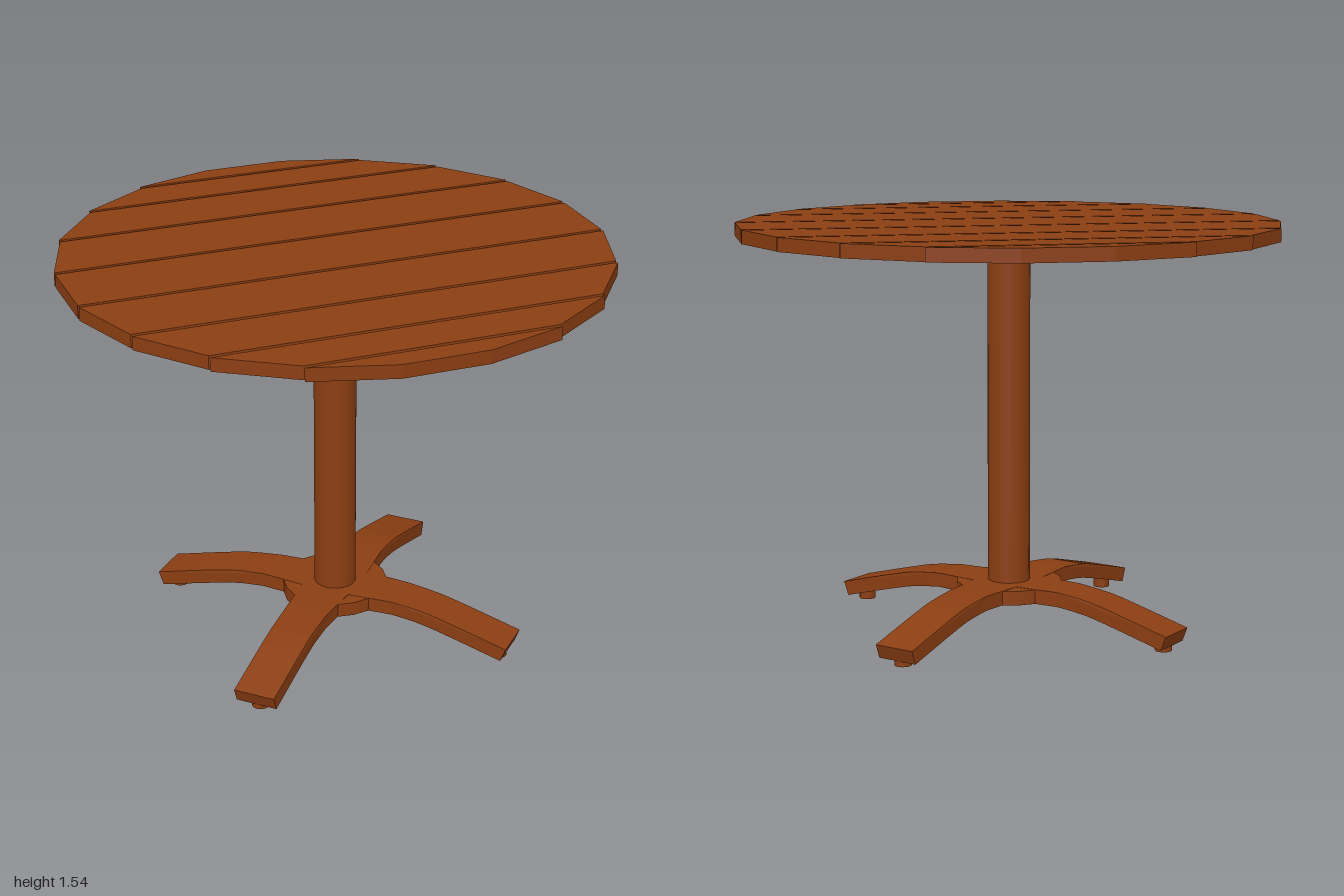
import * as THREE from 'three';

export function createModel() {
  const table = new THREE.Group();
  table.name = 'table';
  const wood = new THREE.MeshStandardMaterial({ color: 0x8b3e12 });
  wood.name = 'brown wood';

  const add = (name, geometry, parent = table) => {
    const mesh = new THREE.Mesh(geometry, wood);
    mesh.name = name;
    parent.add(mesh);
    return mesh;
  };
  const polygon = (points) => new THREE.Shape(points.map(([x, y]) => new THREE.Vector2(x, y)));
  const cylinder = (radius, bottom, top, sides) =>
    new THREE.CylinderGeometry(radius, radius, top - bottom, sides).translate(0, (top + bottom) / 2, 0);

  // Slatted top: a twenty-sided disc cut at its corners into nine boards
  const outer = 1 / Math.cos(Math.PI / 20);
  const gap = 0.008;
  const corner = (i) => {
    const a = THREE.MathUtils.degToRad(-81 + 18 * i);
    return [outer * Math.cos(a), outer * Math.sin(a)];
  };
  for (let i = 0; i < 9; i++) {
    const [x0, z0] = corner(i);
    const [x1, z1] = corner(i + 1);
    const a = z0 + (i > 0 ? gap : 0);
    const b = z1 - (i < 8 ? gap : 0);
    const board = new THREE.ExtrudeGeometry(
      polygon([[-x0, a], [x0, a], [x1, b], [-x1, b]]), { depth: 0.05, bevelEnabled: false });
    add('topSlat', board.rotateX(-Math.PI / 2).translate(0, 1.486, 0));
  }

  // Mounting plate, column and hub
  add('mountingPlate', cylinder(0.5, 1.48, 1.487, 32));
  add('column', cylinder(0.08, 0.13, 1.482, 24));
  add('hub', cylinder(0.2, 0.12, 0.174, 20));

  // Four arched legs on the diagonals, each with a small foot
  const upper = new THREE.SplineCurve([[0.27, 0.175], [0.4, 0.16], [0.52, 0.132], [0.735, 0.075]]
    .map(([x, y]) => new THREE.Vector2(x, y))).getPoints(8);
  const lower = new THREE.SplineCurve([[0.715, 0.022], [0.505, 0.078], [0.385, 0.106], [0.27, 0.12]]
    .map(([x, y]) => new THREE.Vector2(x, y))).getPoints(8);
  const profile = new THREE.Shape([
    new THREE.Vector2(0.05, 0.12), ...lower.reverse(), ...upper.reverse(), new THREE.Vector2(0.05, 0.175)]);
  for (let i = 0; i < 4; i++) {
    const leg = new THREE.Group();
    leg.name = 'leg';
    leg.rotation.y = Math.PI / 4 + i * Math.PI / 2;
    const arm = new THREE.ExtrudeGeometry(profile, { depth: 0.16, bevelEnabled: false });
    arm.translate(0, 0, -0.08);
    // Widen the arm gently where it meets the hub
    const p = arm.attributes.position;
    for (let v = 0; v < p.count; v++) {
      const t = THREE.MathUtils.clamp((0.4 - p.getX(v)) / 0.35, 0, 1);
      p.setZ(v, p.getZ(v) * (1 + 0.25 * t * t));
    }
    arm.computeVertexNormals();
    add('legArm', arm, leg);
    add('foot', cylinder(0.032, 0, 0.06, 12).translate(0.68, 0, 0), leg);
    table.add(leg);
  }
  return table;
}
